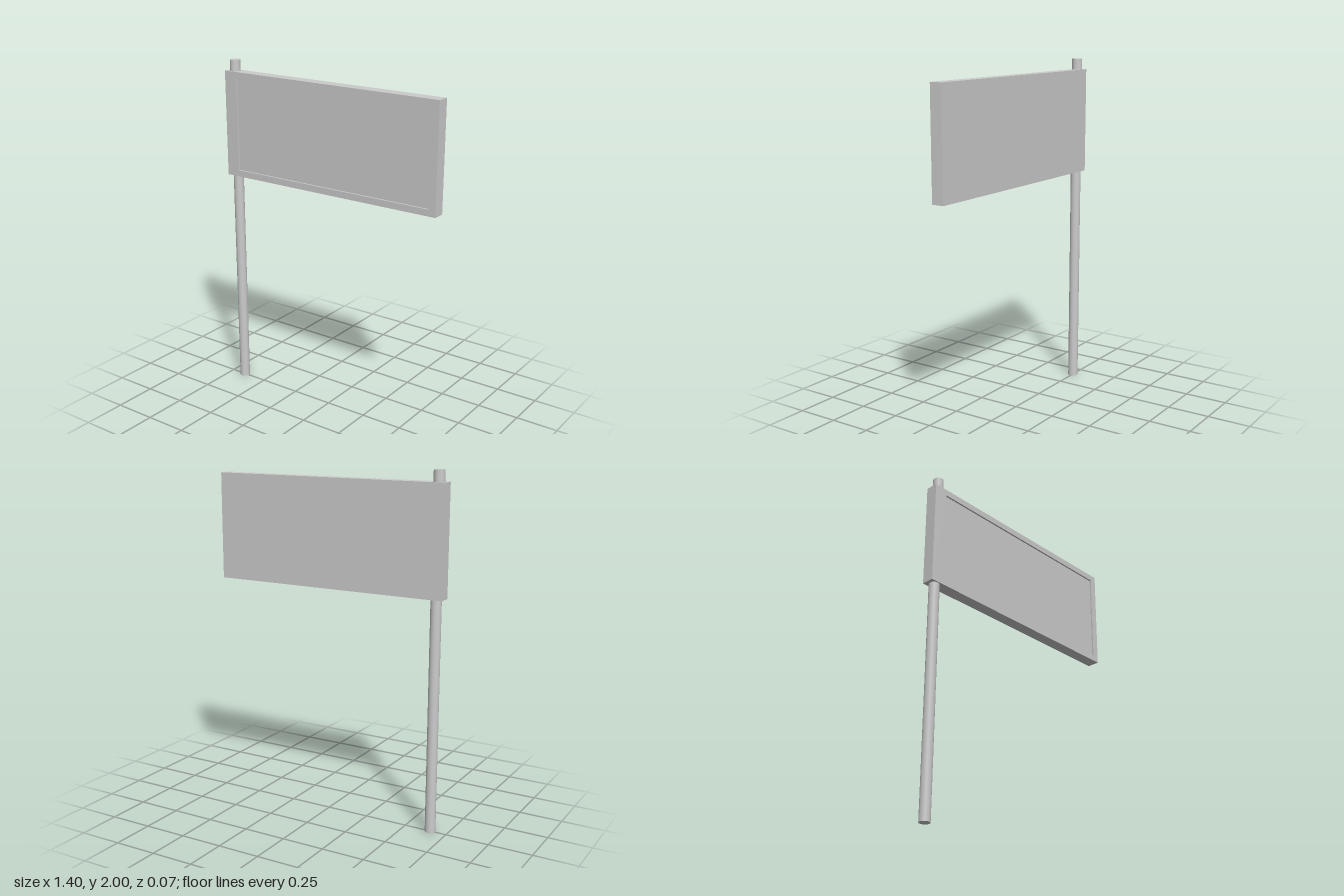
import * as THREE from 'three';

const material = new THREE.MeshStandardMaterial({ color: 0xcccccc });

// Board limits, and the recessed display area on its front
const board = { x0: -0.702, x1: 0.702, y0: 1.322, y1: 1.936, back: -0.036, front: 0.036 };
const recess = { x0: -0.62, x1: 0.661, y0: 1.36, y1: 1.899, depth: 0.01 };

function part(name, geometry) {
  const mesh = new THREE.Mesh(geometry, material);
  mesh.name = name;
  return mesh;
}

function rectangle(PathType, { x0, x1, y0, y1 }) {
  const path = new PathType();
  path.moveTo(x0, y0).lineTo(x1, y0).lineTo(x1, y1).lineTo(x0, y1).closePath();
  return path;
}

export function createModel() {
  const model = new THREE.Group();
  model.name = 'signpost';

  // Round pole, running through the board and out of its top
  const pole = part('pole', new THREE.CylinderGeometry(0.03, 0.03, 2, 32));
  pole.position.set(-0.654, 1, 0);
  model.add(pole);

  const sign = new THREE.Group();
  sign.name = 'signBoard';
  model.add(sign);

  // Backing slab up to the floor of the recess
  const floor = board.front - recess.depth;
  const backing = part('backing', new THREE.ExtrudeGeometry(
    rectangle(THREE.Shape, board), { depth: floor - board.back, bevelEnabled: false }));
  backing.position.z = board.back;
  sign.add(backing);

  // Raised border, wider on the pole side
  const outline = rectangle(THREE.Shape, board);
  outline.holes.push(rectangle(THREE.Path, recess));
  const border = part('border', new THREE.ExtrudeGeometry(
    outline, { depth: recess.depth, bevelEnabled: false }));
  border.position.z = floor;
  sign.add(border);

  return model;
}
